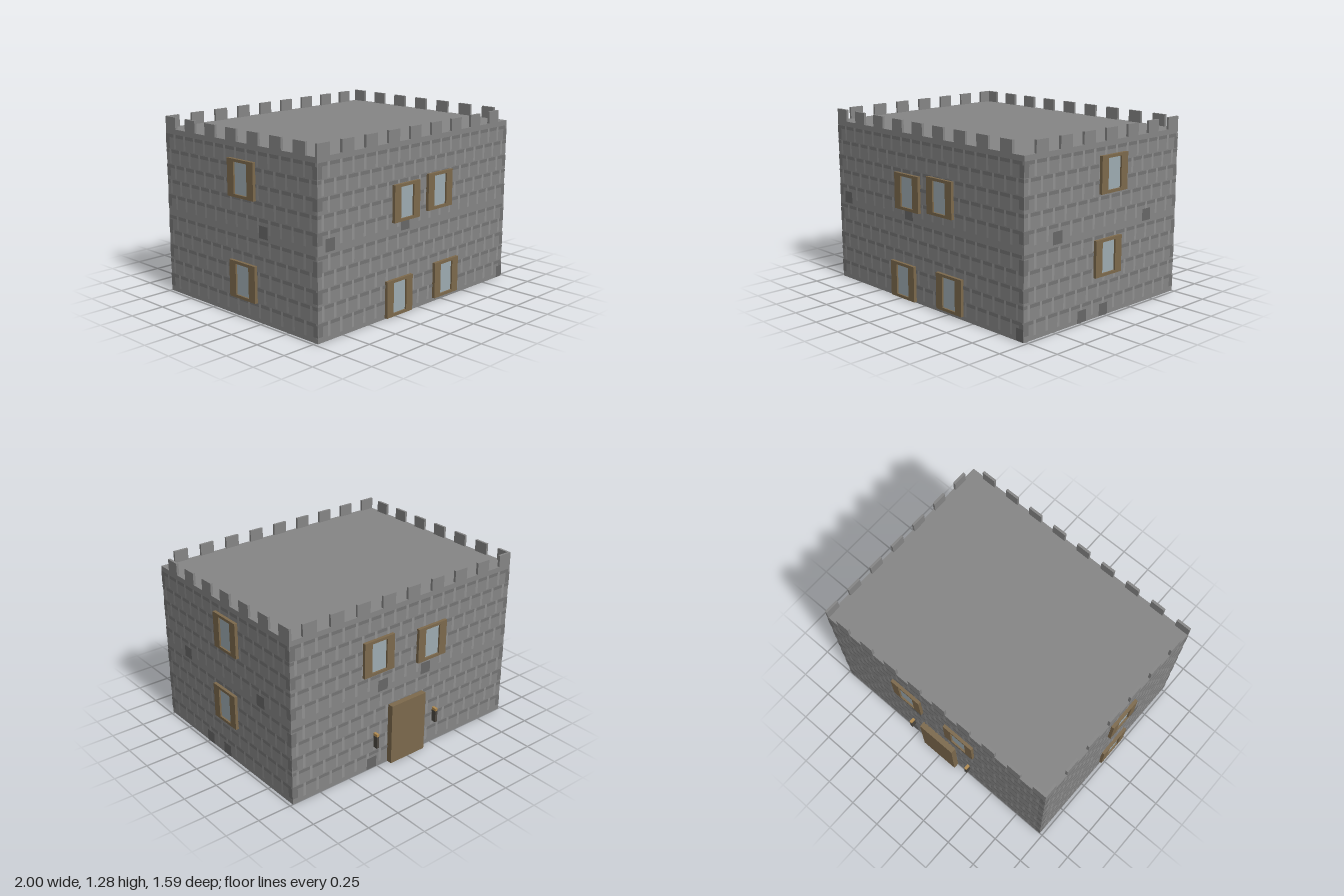
import * as THREE from 'three';
import { mergeGeometries } from 'three/addons/utils/BufferGeometryUtils.js';

const mat = (color) => new THREE.MeshStandardMaterial({ color });
const stone = mat(0x858585), mortarDark = mat(0x747474), jointLight = mat(0x909090), darkStone = mat(0x676767);
const wood = mat(0x7c694c), glassMat = mat(0x9dabb1), iron = mat(0x4a4640), flameMat = mat(0xb08a50);

const X = 0.977, BACK = -0.75, FRONT = 0.77, H = 1.2;
const MID = (FRONT + BACK) / 2, DEPTH = FRONT - BACK;

function add(parent, name, geometry, material, x = 0, y = 0, z = 0) {
  const mesh = new THREE.Mesh(geometry, material);
  mesh.name = name;
  mesh.position.set(x, y, z);
  parent.add(mesh);
  return mesh;
}

// Flat rectangle lying just off a wall
function patch(u0, u1, y0, y1, out) {
  return new THREE.PlaneGeometry(u1 - u0, y1 - y0).translate((u0 + u1) / 2, (y0 + y1) / 2, out);
}

// Square frame with wide sides and a narrow head and sill, pane set back
function addWindow(wall, u, y) {
  const g = new THREE.Group();
  g.name = 'window';
  g.position.set(u, y, 0);
  const a = 0.129, w = 0.065, h = 0.109;
  const shape = new THREE.Shape([[-a, -a], [a, -a], [a, a], [-a, a]].map((p) => new THREE.Vector2(...p)));
  shape.holes.push(new THREE.Path([[-w, -h], [-w, h], [w, h], [w, -h]].map((p) => new THREE.Vector2(...p))));
  add(g, 'windowFrame', new THREE.ExtrudeGeometry(shape, { depth: 0.023, bevelEnabled: false }), wood);
  add(g, 'windowPane', new THREE.BoxGeometry(2 * w, 2 * h, 0.008), glassMat, 0, 0, 0.006);
  wall.add(g);
}

// Staggered masonry courses in two stacked bands
function addMasonry(wall, half, blocks) {
  const step = 0.109, dark = [], light = [], odd = [];
  const clipped = (list, u0, u1, y0, y1, out) => {
    const a = Math.max(u0, -half), b = Math.min(u1, half);
    if (b - a > 0.005) list.push(patch(a, b, y0, y1, out));
  };
  for (let band = 0; band < 2; band++) {
    for (let row = 0; row < 5; row++) {
      const y = band * 0.592 + 0.12 + row * 0.11;
      const shift = (row % 2) * step / 2;
      for (let u = -half - step; u < half + step; u += step) {
        clipped(dark, u + shift, u + shift + 0.088, y - 0.012, y + 0.012, 0.002);
        clipped(light, u + shift + 0.088, u + shift + step, y - 0.09, y + 0.012, 0.0015);
      }
    }
    // Darker quoins along both corners
    for (const y of [0.08, 0.3, 0.5]) {
      for (const s of [-1, 1]) {
        const c = s * (half - 0.02);
        dark.push(patch(c - 0.02, c + 0.02, band * 0.6 + y - 0.04, band * 0.6 + y + 0.04, 0.0025));
      }
    }
  }
  for (const [u, y] of blocks) clipped(odd, u - 0.043, u + 0.043, y - 0.043, y + 0.043, 0.003);
  add(wall, 'mortarCourses', mergeGeometries(dark), mortarDark);
  add(wall, 'uprightJoints', mergeGeometries(light), jointLight);
  add(wall, 'darkStones', mergeGeometries(odd), darkStone);
}

export function createModel() {
  const model = new THREE.Group();
  model.name = 'castleHouse';

  // Solid body with a flat roof
  add(model, 'body', new THREE.BoxGeometry(2 * X, H, DEPTH), stone, 0, H / 2, MID);

  // Battlements: thin merlons along all four edges
  const size = 0.109, pitch = 0.2175, thick = 0.018, tall = 0.085;
  const battlements = new THREE.Group();
  battlements.name = 'battlements';
  model.add(battlements);
  const longMerlon = new THREE.BoxGeometry(size, tall, thick);
  const sideMerlon = new THREE.BoxGeometry(thick, tall, size);
  for (let i = 0; i < 9; i++) {
    for (const z of [FRONT - thick / 2, BACK + thick / 2]) {
      add(battlements, 'merlon', longMerlon, stone, -X + size / 2 + i * pitch, H + tall / 2, z);
    }
  }
  for (let i = 0; i < 7; i++) {
    for (const s of [-1, 1]) {
      add(battlements, 'merlon', sideMerlon, stone, s * (X - thick / 2), H + tall / 2, BACK + size / 2 + i * pitch);
    }
  }

  // Each wall: local x runs to the viewer's right, local z points outwards
  const walls = [
    { name: 'frontWall', at: [0, FRONT], turn: 0, half: X,
      windows: [[-0.155, 0.788], [0.192, 0.809], [-0.219, 0.137], [0.28, 0.157]],
      blocks: [[-0.87, 0.632], [-0.155, 0.632], [0.955, 0.045]] },
    { name: 'backWall', at: [0, BACK], turn: Math.PI, half: X,
      windows: [[-0.26, 0.872], [0.219, 0.828]],
      blocks: [[-0.21, 0.632], [0.18, 0.632], [-0.3, 0.045]] },
    { name: 'leftWall', at: [X, MID], turn: Math.PI / 2, half: DEPTH / 2,
      windows: [[0.054, 0.98], [0.01, 0.415]],
      blocks: [[-0.47, 0.632], [0.42, 0.632], [-0.23, 0.045], [-0.015, 0.045]] },
    { name: 'rightWall', at: [-X, MID], turn: -Math.PI / 2, half: DEPTH / 2,
      windows: [[0.07, 0.96], [0.07, 0.26]],
      blocks: [[0.27, 0.632]] },
  ];
  for (const { name, at, turn, half, windows, blocks } of walls) {
    const wall = new THREE.Group();
    wall.name = name;
    wall.position.set(at[0], 0, at[1]);
    wall.rotation.y = turn;
    model.add(wall);
    // Side walls are centred on the body depth, so shift their features to z = 0
    const offset = Math.sin(turn) * MID;
    addMasonry(wall, half, blocks.map(([u, y]) => [u + offset, y]));
    for (const [u, y] of windows) addWindow(wall, u + offset, y);

    // Door and a pair of torches on the back wall
    if (name === 'backWall') {
      add(wall, 'door', new THREE.BoxGeometry(0.31, 0.458, 0.043), wood, 0, 0.229, 0.0215);
      for (const s of [-1, 1]) {
        add(wall, 'torchHandle', new THREE.BoxGeometry(0.02, 0.09, 0.038), iron, s * 0.275, 0.215, 0.019);
        add(wall, 'torchTip', new THREE.BoxGeometry(0.02, 0.02, 0.038), flameMat, s * 0.275, 0.27, 0.019);
      }
    }
  }
  return model;
}
